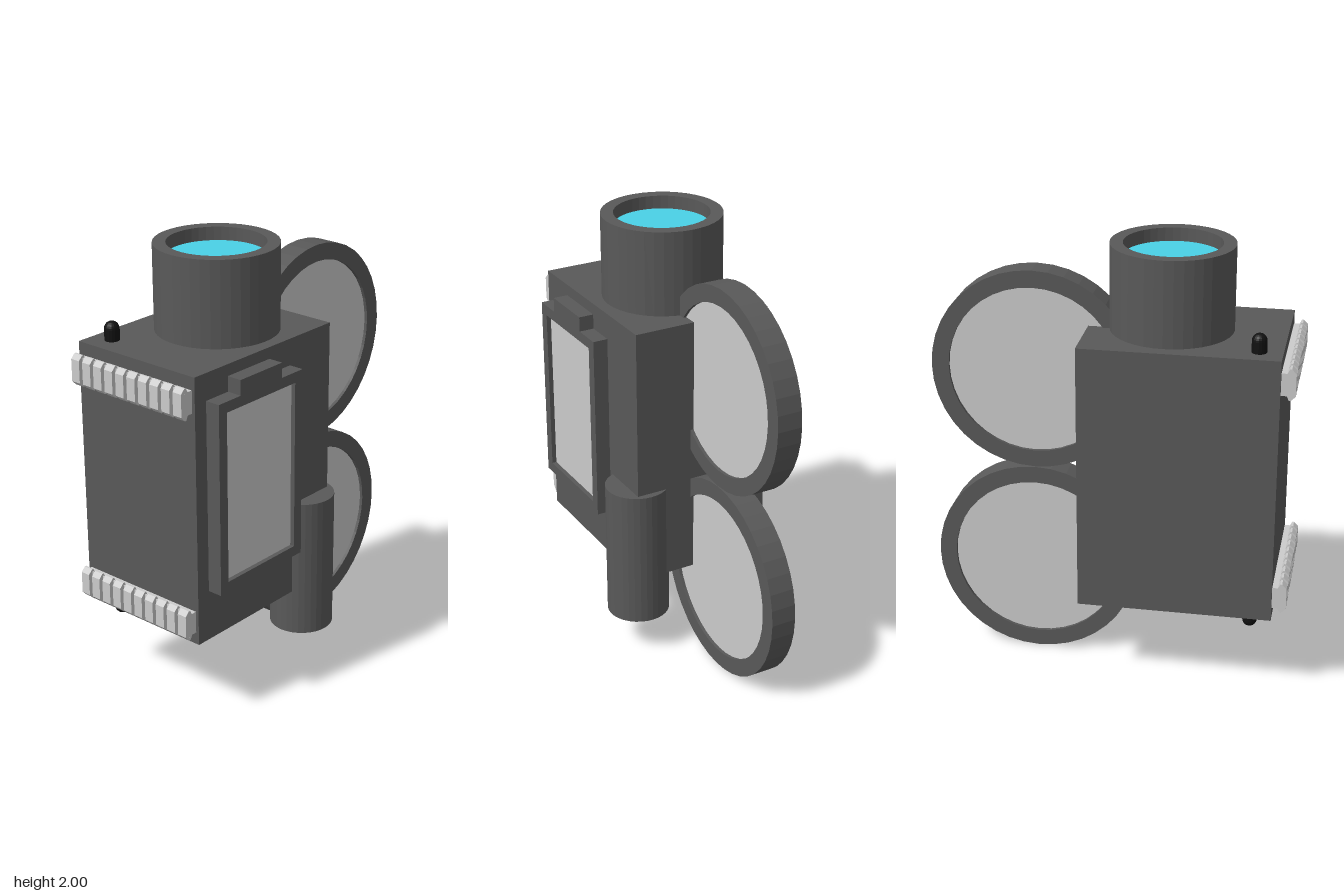
import * as THREE from 'three';

const mat = (color) => new THREE.MeshStandardMaterial({ color, flatShading: true });

export function createModel() {
  const model = new THREE.Group();
  const dark = mat(0x595959), grey = mat(0xcccccc), black = mat(0x111111), blue = mat(0x4ad1e7);

  const add = (name, geometry, material, x = 0, y = 0, z = 0, parent = model) => {
    const mesh = new THREE.Mesh(geometry, material);
    mesh.name = name;
    mesh.position.set(x, y, z);
    parent.add(mesh);
    return mesh;
  };
  const lathe = (pts, segments) =>
    new THREE.LatheGeometry(pts.map(([x, y]) => new THREE.Vector2(x, y)), segments);
  const polygon = (pts, Type = THREE.Shape) => new Type(pts.map(([x, y]) => new THREE.Vector2(x, y)));

  // Main box
  add('body', new THREE.BoxGeometry(0.658, 1.22, 0.867), dark, -0.047, 1.005, 0.3235);

  // Round hood on top with a recessed glass
  add('lensHood', lathe([[0.272, 1.6], [0.272, 2], [0.215, 2], [0.215, 1.9]], 40), dark, -0.046, 0, 0.253);
  add('lensGlass', new THREE.CylinderGeometry(0.217, 0.217, 0.02, 40), blue, -0.046, 1.93, 0.253);

  // Two film reels at the back: a rim around a slightly inset disc
  const h = 0.058;
  const rim = lathe([[0.385, -h], [0.463, -h], [0.463, h], [0.385, h], [0.385, -h]], 40);
  const disc = new THREE.CylinderGeometry(0.387, 0.387, 2 * (h - 0.015), 40);
  for (const [name, y] of [['upperReel', 1.393], ['lowerReel', 0.464]]) {
    const reel = new THREE.Group();
    reel.name = name;
    add('reelRim', rim, dark, 0, 0, 0, reel);
    add('reelDisc', disc, grey, 0, 0, 0, reel);
    reel.rotation.z = Math.PI / 2;
    reel.position.set(-0.045, y, -0.357);
    model.add(reel);
  }

  // Side screen: tabbed frame drawn in (z, y), extruded along x
  const frame = polygon([[0.16, 0.628], [0.69, 0.628], [0.69, 1.495], [0.557, 1.495],
    [0.557, 1.563], [0.295, 1.563], [0.295, 1.495], [0.16, 1.495]]);
  frame.holes.push(polygon([[0.208, 0.676], [0.208, 1.447], [0.642, 1.447], [0.642, 0.676]], THREE.Path));
  add('screenFrame', new THREE.ExtrudeGeometry(frame, { depth: 0.08, bevelEnabled: false }), dark, 0.351)
    .rotation.y = -Math.PI / 2;
  add('screen', new THREE.BoxGeometry(0.06, 0.775, 0.438), grey, 0.3, 1.0615, 0.425);

  // Hand grip
  add('grip', new THREE.CylinderGeometry(0.144, 0.144, 0.648, 32), dark, 0.229, 0.508, 0.002);

  // Slotted rails on the front: a continuous base with ten teeth, section in (z, y)
  const along = (pts, length) => {
    const g = new THREE.ExtrudeGeometry(polygon(pts), { depth: length, bevelEnabled: false });
    return g.rotateY(-Math.PI / 2).translate(length, 0, 0);
  };
  const base = along([[0.75, -0.05], [0.785, -0.05], [0.79, -0.058], [0.798, -0.058],
    [0.798, 0.058], [0.79, 0.058], [0.785, 0.05], [0.75, 0.05]], 0.627);
  const tooth = along([[0.782, -0.05], [0.792, -0.07], [0.8, -0.07], [0.82, -0.05],
    [0.82, 0.05], [0.8, 0.07], [0.792, 0.07], [0.782, 0.05]], 0.046);
  for (const [name, y] of [['upperRail', 1.507], ['lowerRail', 0.501]]) {
    const rail = new THREE.Group();
    rail.name = name;
    rail.position.set(-0.36, y, 0);
    add('railBase', base, grey, 0, 0, 0, rail);
    for (let i = 0; i < 10; i++) add('railTooth', tooth, grey, i * 0.06455, 0, 0, rail);
    model.add(rail);
  }

  // Rounded pins above and below the front corner
  const pin = new THREE.CapsuleGeometry(0.033, 0.08, 6, 16);
  add('topPin', pin, black, -0.28, 1.626, 0.655);
  add('bottomPin', pin, black, -0.28, 0.384, 0.655);

  return model;
}
